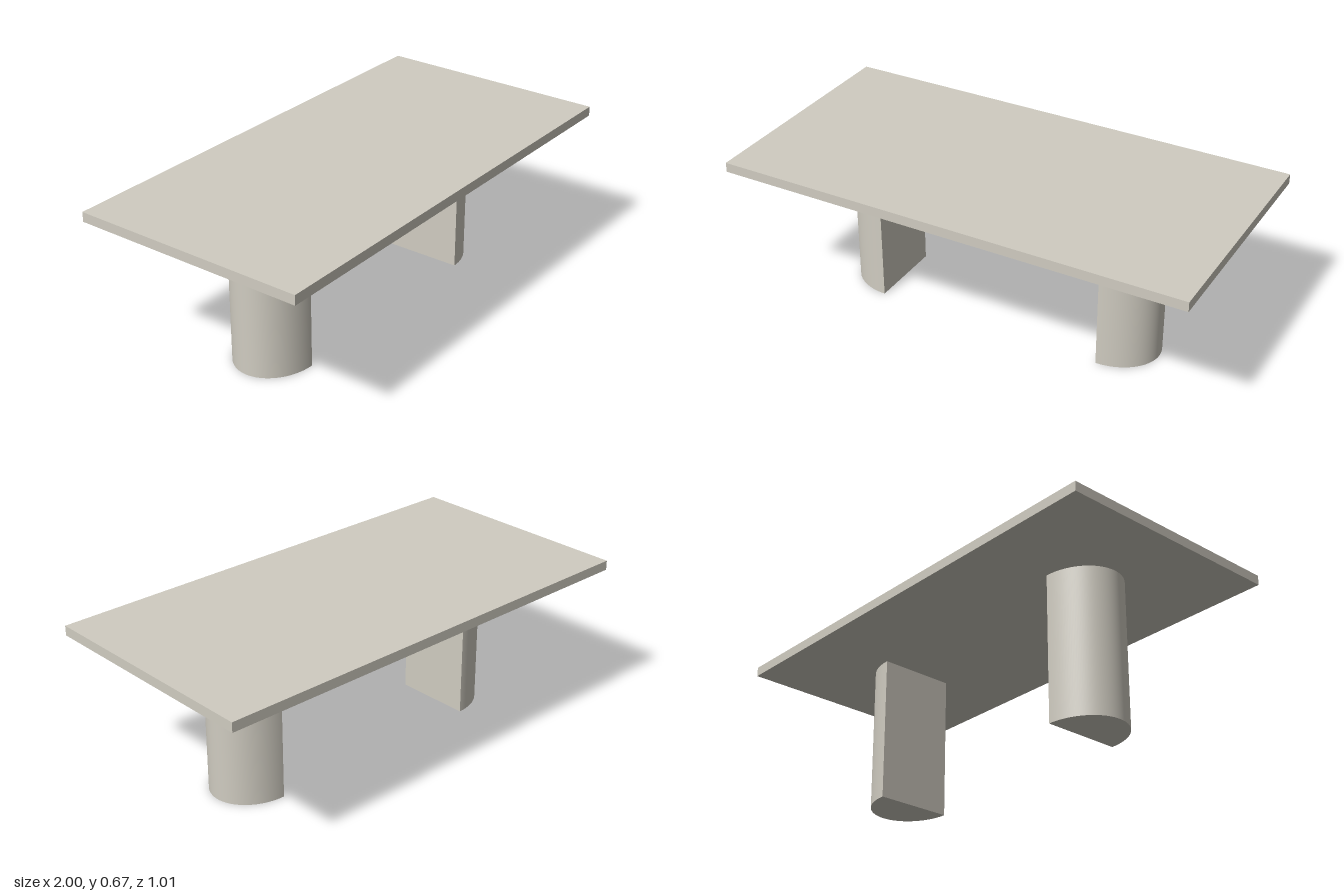
import * as THREE from 'three';

const TOP_Y = 0.668, LEG_H = 0.627;

export function createModel() {
  const table = new THREE.Group();
  table.name = 'table';
  const stone = new THREE.MeshStandardMaterial({ color: 0xd0ccc1 });
  stone.name = 'warm grey';

  // Thin rectangular slab
  const top = new THREE.Mesh(new THREE.BoxGeometry(2, TOP_Y - LEG_H, 1.008), stone);
  top.name = 'tableTop';
  top.position.y = (TOP_Y + LEG_H) / 2;
  table.add(top);

  // Half-oval leg: flat face inward, rounded face outward
  const section = new THREE.Shape();
  section.absellipse(0, 0, 0.203, 0.167, -Math.PI / 2, Math.PI / 2, false);
  section.closePath();
  const legGeometry = new THREE.ExtrudeGeometry(section, {
    depth: LEG_H, bevelEnabled: false, curveSegments: 48,
  });
  legGeometry.rotateX(-Math.PI / 2);

  // Smooth normals around the curved wall, flat elsewhere
  const pos = legGeometry.attributes.position, nor = legGeometry.attributes.normal;
  const n = new THREE.Vector3();
  for (let i = 0; i < pos.count; i++) {
    if (Math.abs(nor.getY(i)) > 0.5 || nor.getX(i) < -0.5) continue;
    n.set(pos.getX(i) / 0.203 ** 2, 0, pos.getZ(i) / 0.167 ** 2).normalize();
    nor.setXYZ(i, n.x, n.y, n.z);
  }

  for (const [name, side] of [['leftLeg', 1], ['rightLeg', -1]]) {
    const leg = new THREE.Mesh(legGeometry, stone);
    leg.name = name;
    leg.position.x = side * 0.5;
    leg.rotation.y = side > 0 ? 0 : Math.PI;
    table.add(leg);
  }
  return table;
}
